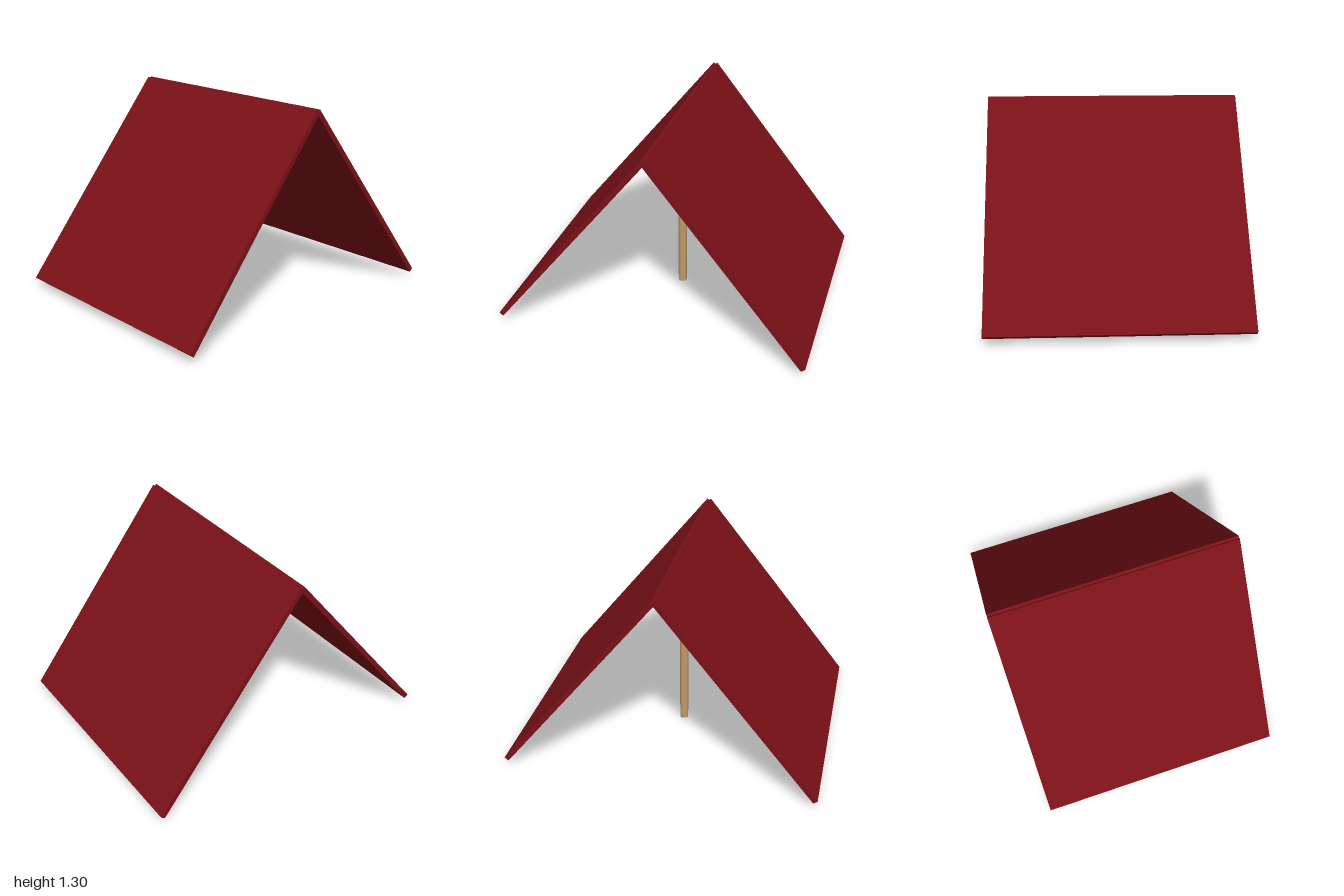
import * as THREE from 'three';

export function createModel() {
  const group = new THREE.Group();
  const cloth = new THREE.MeshStandardMaterial({ color: 0x7b1118 });
  const wood = new THREE.MeshStandardMaterial({ color: 0xc19a6b });

  // Two sloping panels meeting at the ridge, given by their centre lines
  const ridgeY = 1.286, footY = 0.046, footZ = 0.987;
  const length = Math.hypot(footZ, ridgeY - footY);
  const slope = Math.atan2(ridgeY - footY, footZ);
  for (const side of [1, -1]) {
    const panel = new THREE.Mesh(new THREE.BoxGeometry(1.59, 0.032, length), cloth);
    panel.name = side > 0 ? 'frontPanel' : 'backPanel';
    panel.position.set(0, (ridgeY + footY) / 2, side * footZ / 2);
    panel.rotation.x = side * slope;
    group.add(panel);
  }

  // Upright pole under the ridge
  const poleHeight = 1.27;
  const pole = new THREE.Mesh(new THREE.CylinderGeometry(0.028, 0.028, poleHeight, 16), wood);
  pole.name = 'pole';
  pole.position.y = poleHeight / 2;
  group.add(pole);

  return group;
}
